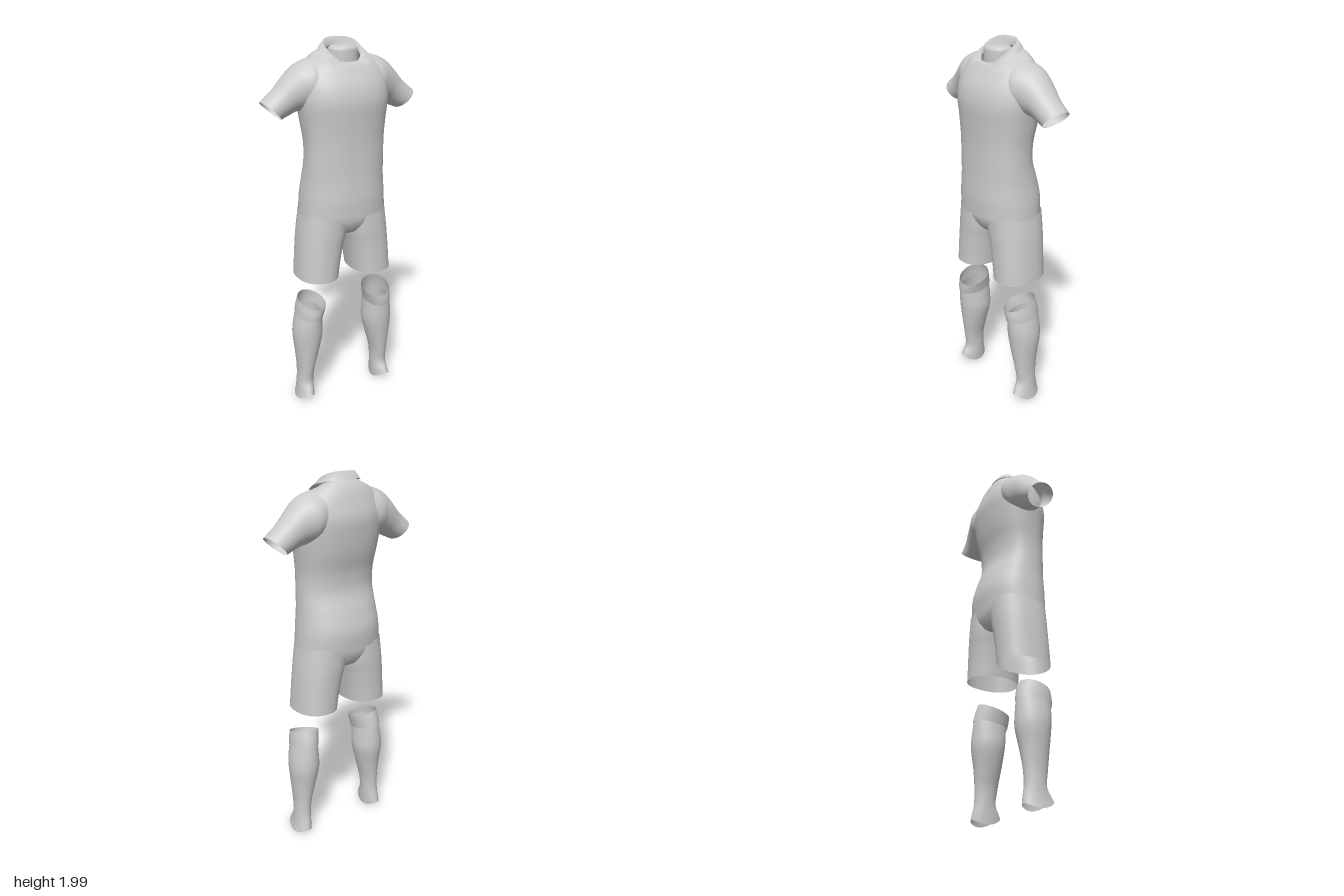
import * as THREE from 'three';

const SEG = 48;

// Smoothly interpolate a table of section parameters (all rows equally long)
function sampleRows(rows, t) {
  const f = t * (rows.length - 1);
  const i = Math.min(Math.floor(f), rows.length - 2);
  const u = f - i;
  const at = (k) => rows[Math.max(0, Math.min(rows.length - 1, k))];
  const [a, b, c, d] = [at(i - 1), at(i), at(i + 1), at(i + 2)];
  return b.map((_, k) => 0.5 * (2 * b[k] + (c[k] - a[k]) * u
    + (2 * a[k] - 5 * b[k] + 4 * c[k] - d[k]) * u * u
    + (3 * b[k] - a[k] - 3 * c[k] + d[k]) * u * u * u));
}

// Indexed grid surface; closed grids wrap around in the second direction
function gridSurface(nRows, nCols, closed, pointAt) {
  const pos = [], idx = [];
  for (let i = 0; i < nRows; i++)
    for (let j = 0; j < nCols; j++) pos.push(...pointAt(i, j));
  for (let i = 0; i < nRows - 1; i++) {
    for (let j = 0; j < (closed ? nCols : nCols - 1); j++) {
      const k = (j + 1) % nCols;
      const a = i * nCols + j, b = i * nCols + k;
      const c = a + nCols, d = b + nCols;
      idx.push(a, c, b, b, c, d);
    }
  }
  const g = new THREE.BufferGeometry();
  g.setAttribute('position', new THREE.Float32BufferAttribute(pos, 3));
  g.setIndex(idx);
  g.computeVertexNormals();
  return g;
}

// Surface through sections; trailing parameters left out of a row count as 0
function loft(rows, ring, steps = 5) {
  const full = rows.map((row) => Array.from({ length: 8 }, (_, k) => row[k] ?? 0));
  const n = (rows.length - 1) * steps + 1;
  return gridSurface(n, SEG, true, (i, j) =>
    ring(sampleRows(full, i / (n - 1)), (j / SEG) * Math.PI * 2));
}

const power = (v, p) => Math.sign(v) * Math.pow(Math.abs(v), p);

// Level section: y, x min, x max, z back, z front, front tilt, side tilt, saddle
function levelRing(squareness = 2) {
  return ([y, x0, x1, zb, zf, tz, tx, saddle], a) => {
    const c = power(Math.cos(a), 2 / squareness), s = power(Math.sin(a), 2 / squareness);
    return [
      (x0 + x1) / 2 + c * (x1 - x0) / 2,
      y + tz * s + tx * c + saddle * s * s,
      (zb + zf) / 2 + s * (zf - zb) / 2,
    ];
  };
}

// Sleeve section: top x, top y, bottom x, bottom y, z centre, z radius
function sleeveRing([tx, ty, bx, by, zc, rz], a) {
  const c = Math.cos(a);
  return [(tx + bx) / 2 + c * (tx - bx) / 2, (ty + by) / 2 + c * (ty - by) / 2, zc - rz * Math.sin(a)];
}

export function createModel() {
  const root = new THREE.Group();
  const fabric = new THREE.MeshStandardMaterial({ color: 0xcccccc, side: THREE.DoubleSide });
  fabric.name = 'lightGreyFabric';

  const add = (geometry, name, mirrored = false) => {
    for (const side of mirrored ? [1, -1] : [1]) {
      const mesh = new THREE.Mesh(geometry, fabric);
      mesh.name = mirrored ? (side > 0 ? 'left' : 'right') + name : name;
      mesh.scale.x = side;
      root.add(mesh);
    }
  };

  // Shirt body: y, half width, z back, z front, tilt
  const shirt = [
    [1.105, 0.238, -0.172, 0.172, 0],
    [1.2, 0.232, -0.176, 0.175, 0],
    [1.3, 0.222, -0.152, 0.17, 0],
    [1.4, 0.217, -0.12, 0.168, 0],
    [1.5, 0.218, -0.122, 0.168, 0],
    [1.6, 0.23, -0.145, 0.173, 0],
    [1.7, 0.243, -0.16, 0.178, 0],
    [1.78, 0.24, -0.165, 0.162, 0],
    [1.85, 0.222, -0.148, 0.125, 0],
    [1.905, 0.17, -0.12, 0.102, -0.02],
    [1.93, 0.092, -0.085, 0.09, -0.037],
  ].map(([y, w, zb, zf, t]) => [y, -w, w, zb, zf, t]);
  add(loft(shirt, levelRing(2.3)), 'shirtBody');

  // Short sleeves
  add(loft([
    [0.10, 1.925, 0.10, 1.70, -0.02, 0.10],
    [0.19, 1.906, 0.17, 1.67, -0.02, 0.122],
    [0.255, 1.878, 0.22, 1.657, -0.022, 0.104],
    [0.31, 1.828, 0.255, 1.652, -0.025, 0.088],
    [0.365, 1.768, 0.29, 1.638, -0.025, 0.077],
    [0.432, 1.712, 0.333, 1.62, -0.025, 0.074],
  ], sleeveRing), 'Sleeve', true);

  // Folded collar: inside edge, fold, outside edge, each listed front to back
  const edges = [
    [[0.045, 1.885, 0.08], [0.08, 1.915, 0.045], [0.085, 1.94, -0.01], [0.06, 1.955, -0.05], [0, 1.955, -0.068]],
    [[0.05, 1.893, 0.09], [0.085, 1.935, 0.05], [0.095, 1.975, -0.01], [0.068, 1.995, -0.055], [0, 2.0, -0.075]],
    [[0.09, 1.872, 0.115], [0.12, 1.91, 0.065], [0.127, 1.938, 0], [0.09, 1.957, -0.072], [0, 1.962, -0.1]],
  ].map((half) => {
    const other = half.slice(0, -1).reverse().map(([x, y, z]) => [-x, y, z]);
    return new THREE.CatmullRomCurve3([...half, ...other].map((p) => new THREE.Vector3(...p)));
  });
  add(gridSurface(3, 49, false, (i, j) => edges[i].getPoint(j / 48).toArray()), 'collar');

  // Rounded stub inside the collar
  add(loft([
    [1.84, -0.078, 0.078, -0.055, 0.08],
    [1.93, -0.078, 0.078, -0.055, 0.08],
    [1.957, -0.072, 0.072, -0.05, 0.076],
    [1.968, -0.045, 0.045, -0.03, 0.055],
    [1.972, -0.001, 0.001, 0.011, 0.013],
  ], levelRing()), 'neckStub');

  // Shorts: seat and two open legs
  add(loft([
    [0.985, -0.07, 0.07, -0.06, 0.05],
    [1.0, -0.13, 0.13, -0.115, 0.1],
    [1.05, -0.215, 0.215, -0.145, 0.132],
    [1.1, -0.232, 0.232, -0.155, 0.142],
    [1.17, -0.215, 0.215, -0.155, 0.145],
  ], levelRing(2.4)), 'shortsSeat');
  add(loft([
    [0.755, 0.046, 0.272, -0.142, 0.14, -0.004],
    [0.84, 0.034, 0.266, -0.144, 0.14],
    [0.93, 0.016, 0.259, -0.148, 0.14],
    [1.01, -0.004, 0.251, -0.152, 0.142],
    [1.12, -0.01, 0.235, -0.152, 0.142],
  ], levelRing(2.3)), 'ShortsLeg', true);

  // Socks with an arched lower rim
  add(loft([
    [0.01, 0.199, 0.296, -0.07, 0.098, 0.01, 0, 0.032],
    [0.055, 0.197, 0.289, -0.064, 0.085, 0.006, 0, 0.016],
    [0.12, 0.195, 0.284, -0.054, 0.064],
    [0.2, 0.188, 0.284, -0.055, 0.073],
    [0.3, 0.162, 0.293, -0.066, 0.087],
    [0.4, 0.139, 0.303, -0.083, 0.1],
    [0.47, 0.139, 0.299, -0.083, 0.106],
    [0.55, 0.145, 0.284, -0.074, 0.108, -0.015],
  ], levelRing()), 'Sock', true);

  // Turned-over cuffs, tilted down toward the front
  add(loft([
    [0.535, 0.142, 0.288, -0.08, 0.115, -0.016, 0.004],
    [0.575, 0.134, 0.284, -0.071, 0.119, -0.022, 0.008],
    [0.614, 0.125, 0.277, -0.058, 0.118, -0.026, 0.012],
  ], levelRing()), 'SockCuff', true);

  return root;
}
